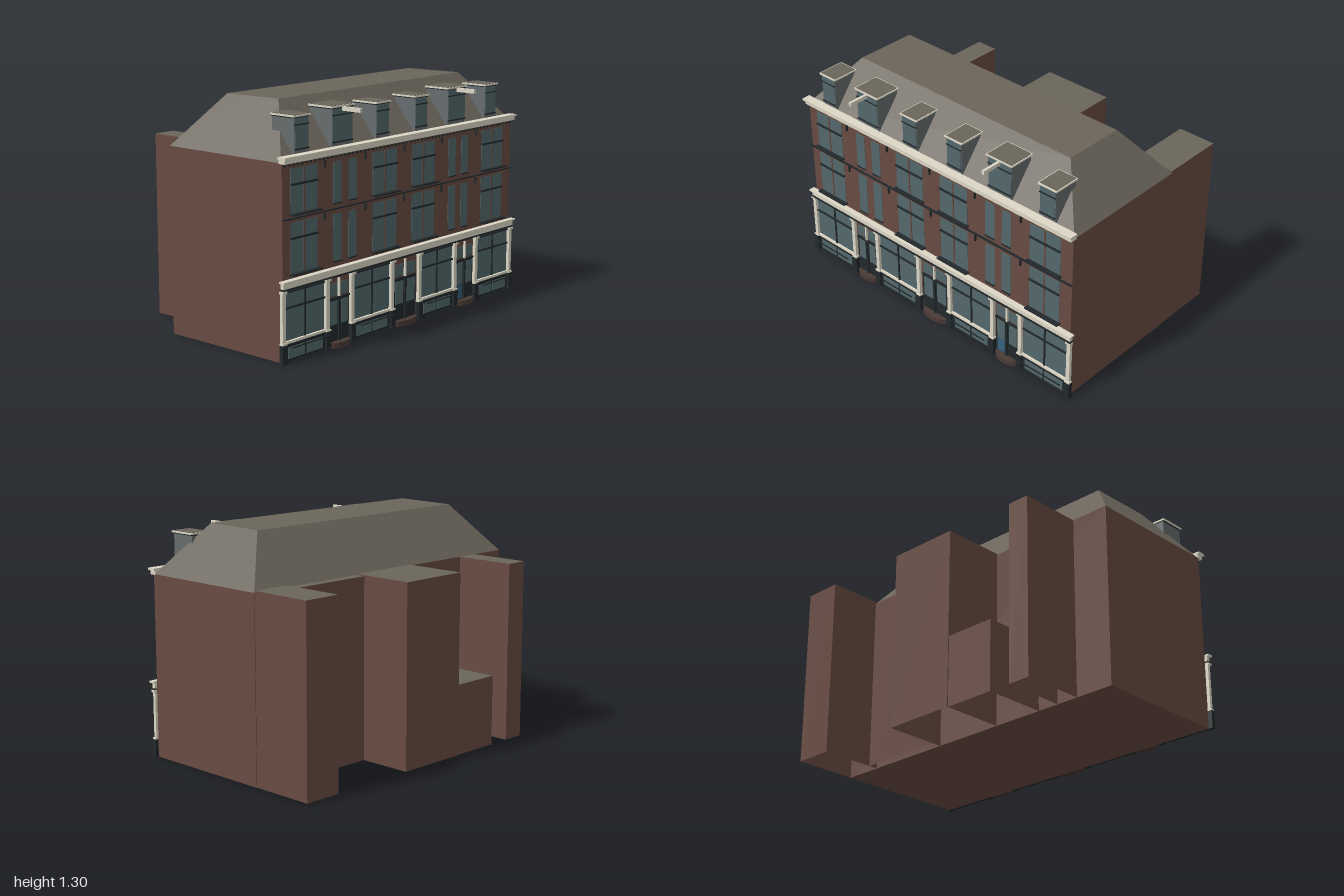
import * as THREE from 'three';

const mat = (color, side = THREE.FrontSide) => new THREE.MeshStandardMaterial({ color, side });
const BRICK = mat(0x684b42), ROOF = mat(0x6b655b), GLASS = mat(0x53686b), CREAM = mat(0xdcd7c5);
const DARK = mat(0x22282a), SLATE = mat(0x666c6e), STEP = mat(0x4a3a35), BLUE = mat(0x35617c);
const WING_BRICK = mat(0x684b42, THREE.DoubleSide), WING_ROOF = mat(0x6b655b, THREE.DoubleSide);

// box given by its limits on each axis
function box(parent, name, x0, x1, y0, y1, z0, z1, material) {
  const mesh = new THREE.Mesh(new THREE.BoxGeometry(x1 - x0, y1 - y0, z1 - z0), material);
  mesh.position.set((x0 + x1) / 2, (y0 + y1) / 2, (z0 + z1) / 2);
  mesh.name = name;
  parent.add(mesh);
  return mesh;
}

function group(parent, name) {
  const g = new THREE.Group();
  g.name = name;
  parent.add(g);
  return g;
}

const F = 0.53; // plane of the front wall

// brick wing at the rear, open underneath, with a flat roof
function rearWing(parent, x0, x1, zBack, top) {
  const B = WING_BRICK;
  const wing = box(parent, 'rearWing', x0, x1, 0, top, zBack, -0.27, [B, B, WING_ROOF, B, B, B]);
  wing.geometry.groups = wing.geometry.groups.filter((side) => side.materialIndex !== 3);
}

// mansard roof: a box whose top corners are drawn in
function mansard(parent) {
  const geo = new THREE.BoxGeometry(2, 1, 2);
  const p = geo.attributes.position;
  for (let i = 0; i < p.count; i++) {
    const top = p.getY(i) > 0, right = p.getX(i) > 0, front = p.getZ(i) > 0;
    const x = top ? 0.757 : 0.975;
    const z = front ? (top ? 0.307 : 0.525) : (top ? -0.06 : -0.27);
    p.setXYZ(i, right ? x : -x, top ? (front ? 1.297 : 1.293) : 1.02, z);
  }
  geo.computeVertexNormals();
  const mesh = new THREE.Mesh(geo, ROOF);
  mesh.name = 'mansardRoof';
  parent.add(mesh);
}

function dormer(parent, x, w, top, hoist) {
  const g = group(parent, 'dormer');
  const h = w / 2, cap = h + 0.01;
  box(g, 'dormerBody', x - h, x + h, 1.03, top, 0.365, 0.515, SLATE);
  box(g, 'dormerGlass', x - h + 0.004, x + h - 0.004, 1.078, top - 0.008, 0.515, 0.518, GLASS);
  box(g, 'dormerBar', x - h, x + h, top - 0.042, top - 0.036, 0.515, 0.522, DARK);
  box(g, 'dormerSill', x - h, x + h, 1.07, 1.077, 0.515, 0.522, DARK);
  box(g, 'dormerEave', x - h - 0.004, x + h + 0.004, top - 0.006, top, 0.363, 0.518, DARK);
  box(g, 'dormerCap', x - cap, x + cap, top, top + 0.009, 0.36, 0.523, CREAM);
  box(g, 'dormerLead', x - cap + 0.006, x + cap - 0.006, top + 0.009, top + 0.011, 0.366, 0.517, ROOF);
  if (hoist) box(g, 'hoistBeam', x - 0.008, x + 0.008, 1.23, 1.252, 0.5, 0.64, CREAM);
}

// upper storey window; wide ones have a mullion and a transom
function sashWindow(parent, x0, x1, y0, y1, wide) {
  const g = group(parent, 'window');
  box(g, 'windowGlass', x0, x1, y0, y1, F - 0.01, F + 0.002, GLASS);
  if (!wide) {
    box(g, 'windowSill', x0, x1, y0 - 0.006, y0, F, F + 0.008, DARK);
    return;
  }
  const m = (x0 + x1) / 2;
  box(g, 'windowSill', x0 - 0.01, x1 + 0.01, y0 - 0.007, y0, F, F + 0.03, DARK);
  box(g, 'windowMullion', m - 0.005, m + 0.005, y0, y1, F, F + 0.005, BRICK);
  box(g, 'windowTransom', x0, x1, y1 - 0.085, y1 - 0.075, F, F + 0.01, DARK);
}

function shopWindow(parent, x0, x1) {
  const g = group(parent, 'shopWindow');
  const m = (x0 + x1) / 2;
  box(g, 'shopGlass', x0, x1, 0.115, 0.365, F - 0.01, F + 0.004, GLASS);
  box(g, 'shopSill', x0, x1, 0.1, 0.113, F, F + 0.015, CREAM);
  box(g, 'stallRiser', x0, x1, 0, 0.1, F, F + 0.01, DARK);
  box(g, 'shopTransom', x0, x1, 0.28, 0.289, F, F + 0.012, DARK);
  box(g, 'shopMullion', m - 0.004, m + 0.004, 0.115, 0.365, F, F + 0.011, DARK);
  box(g, 'shopHead', x0, x1, 0.362, 0.37, F, F + 0.012, DARK);
  for (const [a, b] of [[x0 + 0.02, m - 0.006], [m + 0.006, x1 - 0.02]])
    box(g, 'cellarGlass', a, b, 0.02, 0.08, F, F + 0.013, GLASS);
  // low rails standing in front of the window
  for (const y of [0.018, 0.087])
    box(g, 'rail', x0 + 0.008, x1 - 0.008, y, y + 0.005, 0.577, 0.584, DARK);
}

function pilaster(parent, x) {
  const g = group(parent, 'pilaster');
  box(g, 'pilasterPlinth', x - 0.018, x + 0.018, 0, 0.1, F, F + 0.025, DARK);
  box(g, 'pilasterBase', x - 0.017, x + 0.017, 0.1, 0.11, F, F + 0.024, CREAM);
  box(g, 'pilasterShaft', x - 0.012, x + 0.012, 0.11, 0.365, F, F + 0.018, CREAM);
  box(g, 'pilasterCapital', x - 0.017, x + 0.017, 0.365, 0.378, F, F + 0.026, CREAM);
}

function entrance(parent, x0, x1, firstPanel) {
  const g = group(parent, 'entrance');
  const m = (x0 + x1) / 2;
  box(g, 'doorFrame', x0, x1, 0.025, 0.262, F, F + 0.004, DARK);
  for (const [a, b, panel] of [[x0, m - 0.006, firstPanel], [m + 0.006, x1, DARK]]) {
    box(g, 'doorGlass', a + 0.012, b - 0.01, 0.12, 0.247, F, F + 0.007, GLASS);
    box(g, 'doorPanel', a + 0.012, b - 0.01, 0.035, 0.115, F, F + 0.006, panel);
    box(g, 'fanlight', a + 0.005, b - 0.005, 0.275, 0.34, F, F + 0.004, GLASS);
  }
  box(g, 'doorLintel', x0, x1, 0.257, 0.267, F, F + 0.012, DARK);
  box(g, 'doorPost', m - 0.007, m + 0.007, 0.025, 0.257, F, F + 0.012, DARK);
  box(g, 'fanlightPost', m - 0.005, m + 0.005, 0.267, 0.365, F, F + 0.012, CREAM);
  // step with a curved front
  const step = new THREE.Mesh(new THREE.CylinderGeometry(1, 1, 0.03, 24, 1, false, -Math.PI / 2, Math.PI), STEP);
  step.scale.set((x1 - x0) / 2, 1, 0.043);
  step.position.set(m, 0.015, F);
  step.name = 'doorStep';
  g.add(step);
}

export function createModel() {
  const root = new THREE.Group();
  root.name = 'townhouseRow';

  // main block, rear wings and roof
  box(root, 'mainWalls', -0.975, 0.975, 0, 1.02, -0.27, F, BRICK);
  for (const w of [
    [-0.75, -0.62, -0.63, 1.02], [-0.49, -0.19, -0.63, 0.4], [-0.19, 0.235, -0.635, 1.025],
    [0.235, 0.75, -0.325, 1.02], [0.75, 0.972, -0.64, 1.03],
  ]) rearWing(root, ...w);
  mansard(root);
  for (const x of [-0.815, -0.182, 0.147, 0.79]) dormer(root, x, 0.104, 1.235, false);
  for (const x of [-0.505, 0.467]) dormer(root, x, 0.158, 1.25, true);

  // roof cornice with dentils
  box(root, 'roofCornice', -0.98, 0.98, 1.017, 1.04, 0.515, 0.555, CREAM);
  box(root, 'roofCorniceLip', -0.99, 0.985, 1.04, 1.052, 0.515, 0.566, CREAM);
  for (let x = -0.96; x < 0.97; x += 0.032)
    box(root, 'dentil', x - 0.007, x + 0.007, 1.0, 1.01, F, F + 0.008, DARK);

  // shopfront cornice and string course
  box(root, 'shopFascia', -0.99, 0.99, 0.388, 0.418, F, F + 0.022, CREAM);
  box(root, 'shopCornice', -1, 1, 0.418, 0.428, F, F + 0.035, CREAM);
  box(root, 'shopArchitrave', -0.995, 0.995, 0.38, 0.388, F, F + 0.028, DARK);
  box(root, 'stringCourse', -0.975, 0.975, 0.731, 0.737, F, F + 0.012, DARK);

  // upper storeys
  for (const [y0, y1] of [[0.452, 0.713], [0.758, 0.985]]) {
    for (const [a, b] of [[-0.915, -0.715], [-0.28, -0.08], [0.05, 0.25], [0.69, 0.895]])
      sashWindow(root, a, b, y0, y1, true);
    for (const [a, b] of [[-0.595, -0.53], [-0.475, -0.41], [0.38, 0.445], [0.497, 0.56]])
      sashWindow(root, a, b, y0 + 0.006, y1 - 0.008, false);
    for (const x of [-0.665, -0.345, -0.02, 0.31, 0.63])
      box(root, 'wallAnchor', x - 0.004, x + 0.004, y1 - 0.025, y1 + 0.012, F, F + 0.01, DARK);
  }

  // shopfronts
  for (const [a, b] of [[-0.968, -0.668], [-0.438, -0.142], [0.133, 0.42], [0.655, 0.96]]) shopWindow(root, a, b);
  for (const x of [-0.982, -0.652, -0.455, -0.125, 0.115, 0.437, 0.638, 0.977]) pilaster(root, x);
  entrance(root, -0.63, -0.475, DARK);
  entrance(root, -0.1, 0.09, DARK);
  entrance(root, 0.457, 0.62, BLUE);
  return root;
}
